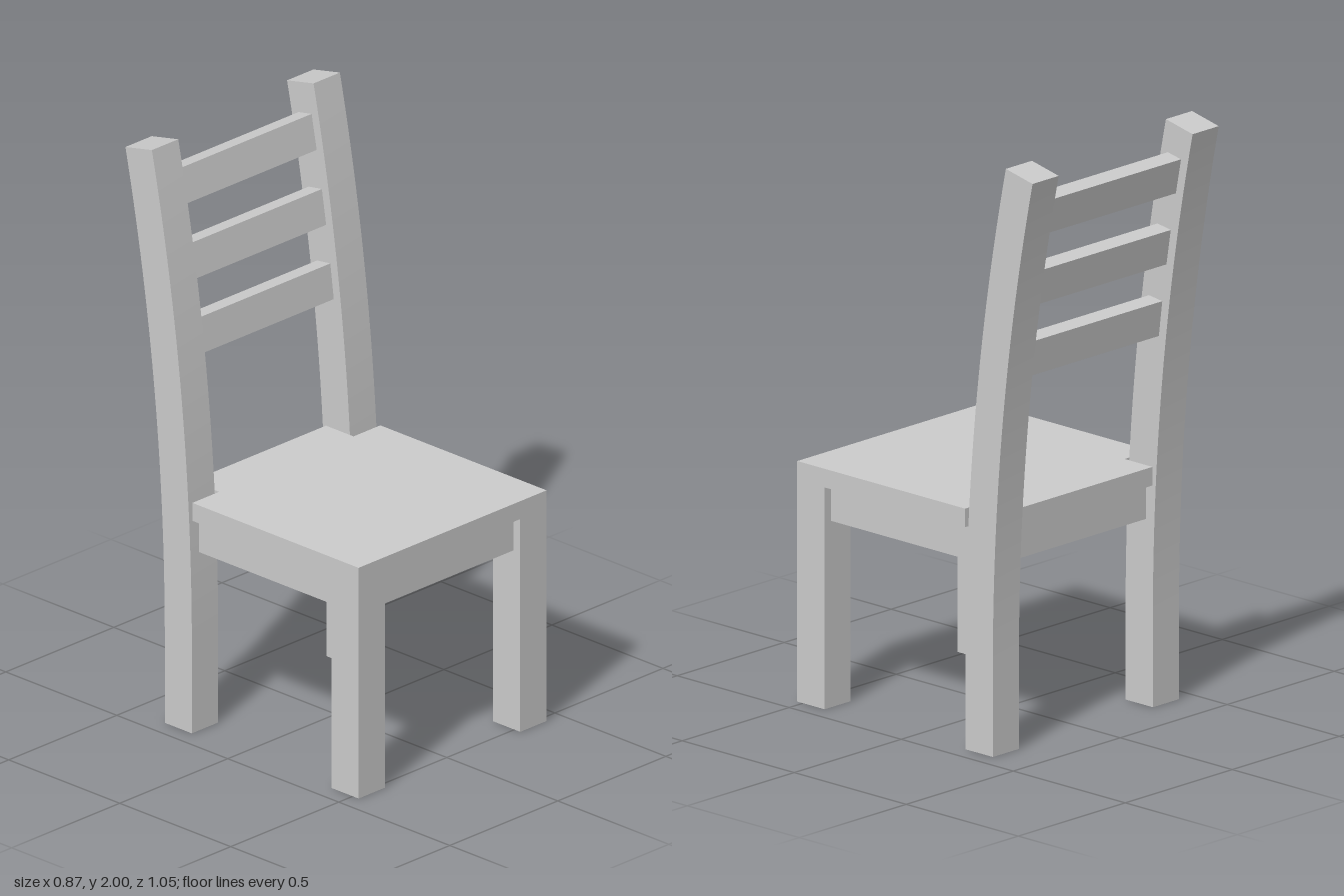
import * as THREE from 'three';
import { toCreasedNormals } from 'three/addons/utils/BufferGeometryUtils.js';

const W = 0.435;        // half width of the chair
const LEG = 0.122;      // leg and post section
const IN = W - LEG;     // inner face of the legs
const FRONT = 0.526;    // front face of the chair
const POST_Z = -0.225;  // front face of the rear posts at the floor
const SEAT_Y = 0.75, SEAT_T = 0.063;
const RAIL_H = 0.12, RAIL_T = 0.06;

// The rear posts rise straight to ARC_Y, then lean back along a circle
const R = 8.12, ARC_Y = 0.3, ARC = 0.211;
const CZ = POST_Z - R;

export function createModel() {
  const group = new THREE.Group();
  const material = new THREE.MeshStandardMaterial({ color: 0xcccccc });

  const add = (name, geometry, x, y, z) => {
    const mesh = new THREE.Mesh(geometry, material);
    mesh.name = name;
    mesh.position.set(x, y, z);
    group.add(mesh);
    return mesh;
  };
  const box = (name, w, h, d, x, y, z) => add(name, new THREE.BoxGeometry(w, h, d), x, y, z);

  // Seat board, notched around the rear posts
  const back = POST_Z - LEG, notchX = IN - 0.002, notchZ = POST_Z + 0.002;
  const outline = [
    [-W, FRONT], [W, FRONT], [W, notchZ], [notchX, notchZ],
    [notchX, back], [-notchX, back], [-notchX, notchZ], [-W, notchZ],
  ].map(([x, z]) => new THREE.Vector2(x, -z));
  const seat = new THREE.ExtrudeGeometry(new THREE.Shape(outline), { depth: SEAT_T, bevelEnabled: false });
  seat.rotateX(-Math.PI / 2);
  add('seat', seat, 0, SEAT_Y, 0);

  // Side profile of a rear post, extruded across its width
  const profile = new THREE.Shape();
  profile.moveTo(back, 0);
  profile.lineTo(POST_Z, 0);
  profile.lineTo(POST_Z, ARC_Y);
  profile.absarc(CZ, ARC_Y, R, 0, ARC, false);
  profile.absarc(CZ, ARC_Y, R - LEG, ARC, 0, true);
  profile.closePath();
  let post = new THREE.ExtrudeGeometry(profile, { depth: LEG, bevelEnabled: false, curveSegments: 16 });
  post.translate(0, 0, -LEG / 2);
  post.rotateY(-Math.PI / 2);
  post = toCreasedNormals(post, 0.5);

  // Legs, posts and side rails, mirrored left and right
  const legX = W - LEG / 2, railY = SEAT_Y - RAIL_H / 2;
  const frontLegZ = FRONT - LEG / 2, railBack = POST_Z + 0.002, railFront = FRONT - LEG;
  for (const [side, s] of [['left', 1], ['right', -1]]) {
    box(side + 'FrontLeg', LEG, SEAT_Y, LEG, s * legX, SEAT_Y / 2, frontLegZ);
    add(side + 'RearPost', post, s * legX, 0, 0);
    box(side + 'SeatRail', RAIL_T, RAIL_H, railFront - railBack, s * legX, railY, (railFront + railBack) / 2);
  }

  // Front and back seat rails
  box('frontSeatRail', 2 * IN, RAIL_H, RAIL_T, 0, railY, frontLegZ);
  box('backSeatRail', 2 * IN, RAIL_H, RAIL_T, 0, railY, POST_Z - LEG / 2);

  // Three backrest slats following the lean of the posts
  const slatR = R - LEG / 2;
  [1.325, 1.575, 1.825].forEach((y, i) => {
    const a = Math.asin((y - ARC_Y) / slatR);
    const slat = box('backSlat' + (i + 1), 2 * IN, 0.122, RAIL_T, 0, y, CZ + slatR * Math.cos(a));
    slat.rotation.x = -a;
  });

  return group;
}
